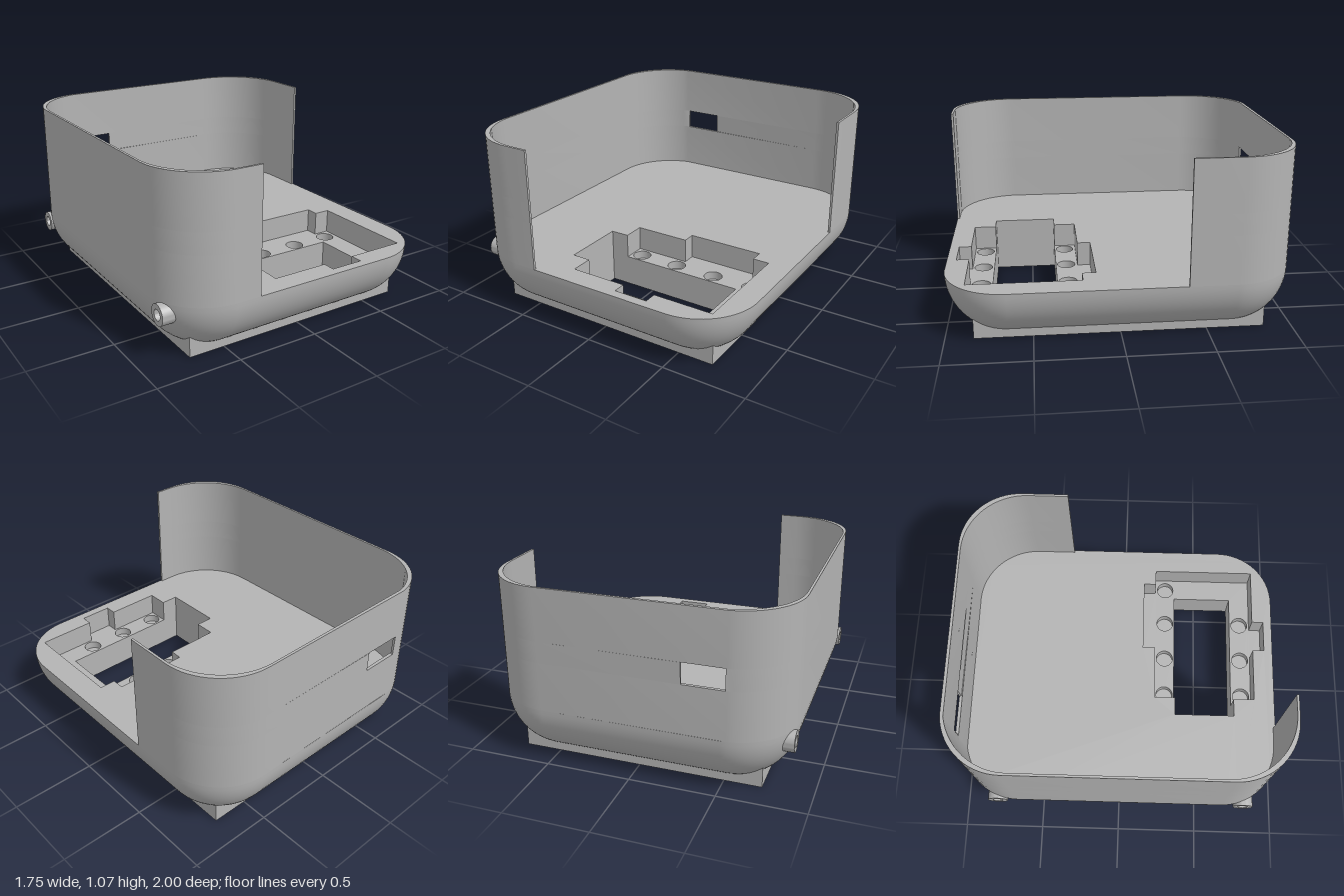
import * as THREE from 'three';
import { toCreasedNormals } from 'three/addons/utils/BufferGeometryUtils.js';

const W = 0.877, D = 1, R = 0.36;          // half width, half depth, corner radius
const FLOOR = 0.34, TOP = 1.065, LEDGE = 0.19;
const STEPS = 16;

// Points [x, z] of one rounded corner, running anticlockwise seen from above
function corner(sx, sz, inset, r) {
  const cx = sx * (W - inset - r), cz = sz * (D - inset - r);
  const start = sx > 0 ? (sz < 0 ? 0 : -Math.PI / 2) : (sz < 0 ? Math.PI / 2 : Math.PI);
  return Array.from({ length: STEPS + 1 }, (_, i) => {
    const a = start + (i / STEPS) * Math.PI / 2;
    return [cx + r * Math.cos(a), cz - r * Math.sin(a)];
  });
}

const outline = (inset, r) => [[1, -1], [-1, -1], [-1, 1], [1, 1]]
  .flatMap(([sx, sz]) => corner(sx, sz, inset, r));

const vectors = pts => pts.map(([x, z]) => new THREE.Vector2(x, -z));

function shapeOf(pts, holes = []) {
  const s = new THREE.Shape(vectors(pts));
  holes.forEach(h => s.holes.push(new THREE.Path(vectors(h))));
  return s;
}

// Flat horizontal face at height y
const flat = (shape, y) => new THREE.ShapeGeometry(shape, 24).rotateX(-Math.PI / 2).translate(0, y, 0);

// Upright prism between two heights
function prism(shape, y0, y1) {
  const g = new THREE.ExtrudeGeometry(shape, { depth: y1 - y0, bevelEnabled: false });
  return toCreasedNormals(g.rotateX(-Math.PI / 2).translate(0, y0, 0), 0.5);
}

// Open vertical strip following a closed outline
function strip(pts, y0, y1) {
  const pos = [];
  pts.forEach(([x, z], i) => {
    const [u, w] = pts[(i + 1) % pts.length];
    pos.push(x, y0, z, u, y0, w, u, y1, w, x, y0, z, u, y1, w, x, y1, z);
  });
  const g = new THREE.BufferGeometry();
  g.setAttribute('position', new THREE.Float32BufferAttribute(pos, 3));
  g.computeVertexNormals();
  return g;
}

// Rounded underside lofted through inset outlines
function undersideGeometry() {
  const pos = [], idx = [], rows = 16, n = 4 * (STEPS + 1);
  for (let k = 0; k <= rows; k++) {
    const t = THREE.MathUtils.degToRad(22 + 68 * k / rows);
    const inset = FLOOR * (1 - Math.sin(t)), y = FLOOR * (1 - Math.cos(t));
    outline(inset, R - inset).forEach(([x, z]) => pos.push(x, y, z));
    for (let i = 0; k < rows && i < n; i++) {
      const a = k * n + i, b = k * n + (i + 1) % n;
      idx.push(a, b, b + n, a, b + n, a + n);
    }
  }
  const g = new THREE.BufferGeometry();
  g.setAttribute('position', new THREE.Float32BufferAttribute(pos, 3));
  g.setIndex(idx);
  g.computeVertexNormals();
  return g;
}

export function createModel() {
  const model = new THREE.Group();
  model.name = 'openCase';
  const grey = new THREE.MeshStandardMaterial({ color: 0xb3b3b3, side: THREE.DoubleSide });
  grey.name = 'grey';
  const add = (name, geometry) => {
    const m = new THREE.Mesh(geometry, grey);
    m.name = name;
    model.add(m);
    return m;
  };

  // Through opening, and the stepped recess around it
  const opening = [[-0.3, 0.35], [0.59, 0.35], [0.59, 0.735], [-0.3, 0.735]];
  const recess = [
    [-0.185, 0.215], [0.16, 0.215], [0.16, 0.135], [0.63, 0.135], [0.63, 0.215], [0.73, 0.215],
    [0.73, 0.87], [0.365, 0.87], [0.365, 0.945], [0.16, 0.945], [0.16, 0.87], [-0.185, 0.87],
    [-0.185, 0.735]];
  const recessTop = [...recess, [-0.3, 0.735], [-0.3, 0.35], [-0.185, 0.35]];
  const ledge = [...recess, [0.59, 0.735], [0.59, 0.35], [-0.185, 0.35]];

  // Body: rounded underside, floor and base plate
  add('underside', undersideGeometry());
  add('floor', flat(shapeOf(outline(0, R), [recessTop]), FLOOR));
  const px = 0.717, pz = 0.838;
  add('basePlate', prism(shapeOf([[px, -pz], [-px, -pz], [-px, pz], [px, pz]], [opening]), 0, 0.12));

  // Recess walls, ledge and blind round sockets
  add('recessWalls', strip(recessTop, LEDGE, FLOOR));
  add('openingWalls', strip(opening, 0, LEDGE));
  const ledgeShape = shapeOf(ledge);
  const sockets = [[-0.12, 0.285], [0.14, 0.285], [0.4, 0.285], [0.655, 0.285],
    [-0.12, 0.803], [0.14, 0.803], [0.4, 0.803]];
  const depth = 0.05;
  for (const [x, z] of sockets) {
    const r = 0.055;
    ledgeShape.holes.push(new THREE.Path().absarc(x, -z, r, 0, Math.PI * 2, true));
    add('socketWall', new THREE.CylinderGeometry(r, r, depth, 48, 1, true)
      .translate(x, LEDGE - depth / 2, z));
    add('socketBottom', new THREE.CircleGeometry(r, 48).rotateX(-Math.PI / 2)
      .translate(x, LEDGE - depth, z));
  }
  add('recessLedge', flat(ledgeShape, LEDGE));

  // Thin wall around the back and right, open at the front corner, with a slot in the back
  const T = 0.014, slot = [-0.305, -0.545];
  const side = (inset, r) => {
    const before = [[W - inset, -0.36], ...corner(1, -1, inset, r)];
    const after = [...corner(-1, -1, inset, r).filter(p => p[0] < slot[1] - 0.005),
      ...corner(-1, 1, inset, r), [-0.375, D - inset]];
    const z = -D + inset;
    return {
      whole: [...before, ...after],
      before: [...before, [slot[0], z]],
      after: [[slot[1], z], ...after],
    };
  };
  const outer = side(0, R), inner = side(T, 0.38);
  const wall = (part, y0, y1) =>
    add('wall', prism(shapeOf([...outer[part], ...inner[part].slice().reverse()]), y0, y1));
  wall('whole', FLOOR, 0.63);
  wall('before', 0.63, 0.755);
  wall('after', 0.63, 0.755);
  wall('whole', 0.755, TOP);

  // Hollow pegs on the side
  const profile = [[0.062, 0.74], [0.062, 0.878], [0.032, 0.878], [0.032, 0.79], [0, 0.79]]
    .map(([r, y]) => new THREE.Vector2(r, y));
  for (const z of [-0.765, 0.785]) {
    add('sidePeg', toCreasedNormals(new THREE.LatheGeometry(profile, 40).rotateZ(Math.PI / 2), 0.6)
      .translate(0, 0.277, z));
  }
  return model;
}
